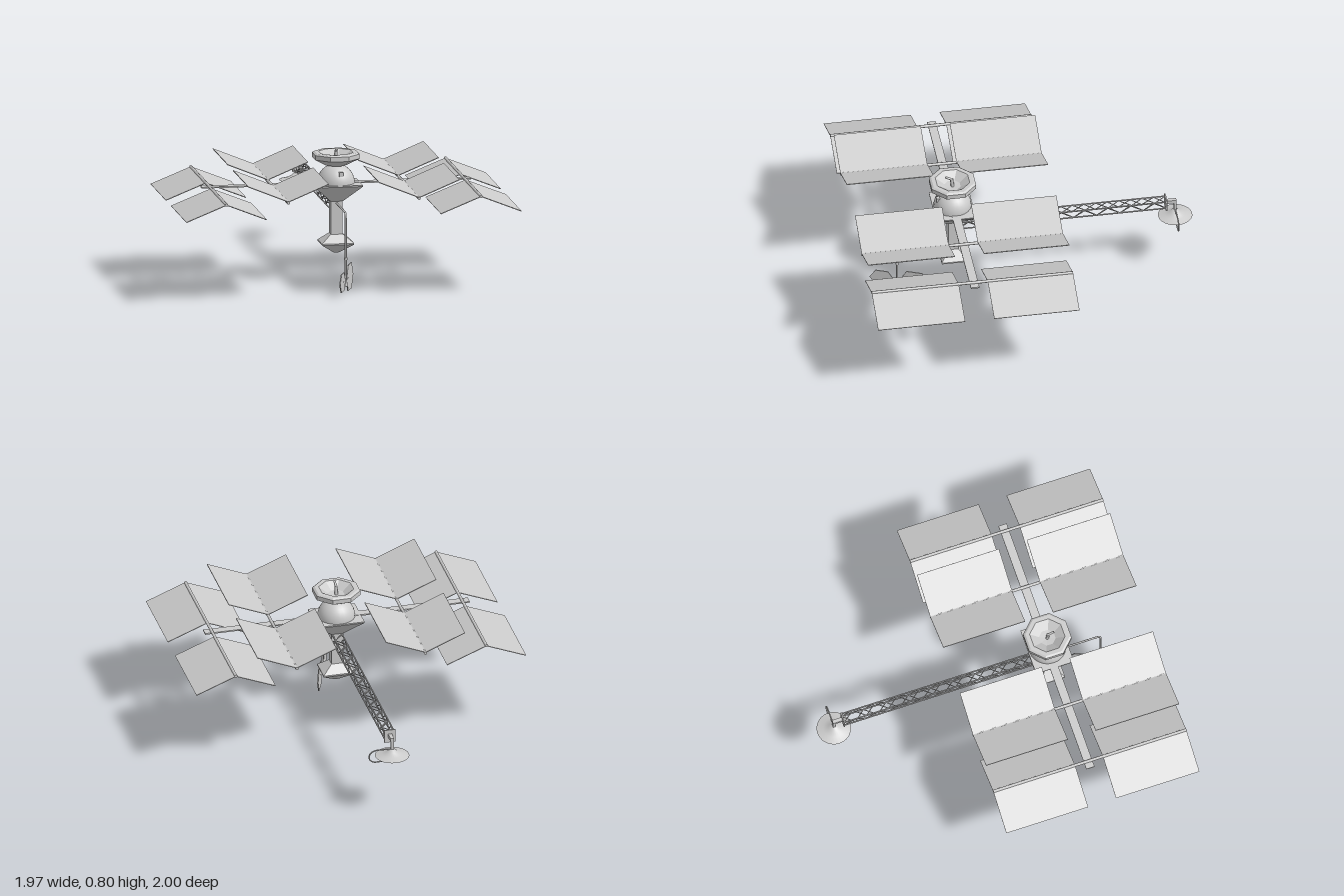
import * as THREE from 'three';

const CZ = 0.405; // z of the central body
const V = (x, y, z) => new THREE.Vector3(x, y, z);
const flat = new THREE.MeshStandardMaterial({ color: 0xcccccc, flatShading: true, side: THREE.DoubleSide });
const smooth = new THREE.MeshStandardMaterial({ color: 0xcccccc, side: THREE.DoubleSide });

function add(parent, name, geometry, x = 0, y = 0, z = 0, material = flat) {
  const mesh = new THREE.Mesh(geometry, material);
  mesh.name = name;
  mesh.position.set(x, y, z);
  parent.add(mesh);
  return mesh;
}

function addGroup(parent, name) {
  const g = new THREE.Group();
  g.name = name;
  parent.add(g);
  return g;
}

// Round bar between two points
function bar(parent, name, a, b, r, sides = 8, r2 = r) {
  const d = b.clone().sub(a);
  const mesh = add(parent, name, new THREE.CylinderGeometry(r2, r, d.length(), sides), 0, 0, 0, smooth);
  mesh.position.copy(a).addScaledVector(d, 0.5);
  mesh.quaternion.setFromUnitVectors(V(0, 1, 0), d.normalize());
  return mesh;
}

// Faceted solid from [apothem, y] pairs, flat sides facing the axes
function faceted(profile, sides) {
  const k = 1 / Math.cos(Math.PI / sides);
  const pts = profile.map(([r, y]) => new THREE.Vector2(r * k, y));
  return new THREE.LatheGeometry(pts, sides, Math.PI / sides);
}

function buildBody(root) {
  const body = addGroup(root, 'body');
  body.position.z = CZ;
  add(body, 'hull', faceted([[0, 0.485], [0.035, 0.485], [0.14, 0.585], [0.14, 0.592], [0, 0.592]], 4)).scale.z = 0.83;
  add(body, 'column', new THREE.BoxGeometry(0.07, 0.21, 0.06), 0, 0.385, 0);
  add(body, 'lowerModule', faceted([[0, 0.18], [0.012, 0.18], [0.094, 0.237], [0.094, 0.245], [0.035, 0.293], [0, 0.293]], 4)).scale.z = 0.82;
  add(body, 'dome', new THREE.SphereGeometry(0.11, 24, 10, 0, Math.PI * 2, 0, Math.PI / 2), 0, 0.592, 0, smooth);
  add(body, 'hatch', new THREE.BoxGeometry(0.025, 0.025, 0.02), 0.015, 0.655, 0.088);
  // Octagonal dock with a sunken top
  add(body, 'dockingRing', faceted([[0, 0.695], [0.06, 0.698], [0.13, 0.738], [0.13, 0.765], [0.118, 0.773], [0.095, 0.773], [0.045, 0.735], [0, 0.73]], 8));
  bar(body, 'antennaMast', V(0, 0.73, 0), V(0, 0.782, 0.005), 0.01);
  bar(body, 'antennaTip', V(0, 0.778, 0), V(0, 0.798, 0.04), 0.007);
}

function buildSolarArrays(root) {
  const arrays = addGroup(root, 'solarArrays');
  add(arrays, 'crossBeam', new THREE.BoxGeometry(1.58, 0.008, 0.05), 0, 0.59, 0.4);
  for (const side of [-1, 1]) {
    // Inner wings fold upwards, outer wings fold downwards
    for (const [x, y, tipY] of [[0.384, 0.603, 0.7], [0.748, 0.597, 0.503]]) {
      bar(arrays, 'axle', V(side * x, 0.598, -0.18), V(side * x, 0.598, 1), 0.009);
      for (const z of [0.07, 0.745]) {
        for (const dir of [-1, 1]) {
          const rise = tipY - y, run = 0.236;
          const panel = add(arrays, 'solarPanel', new THREE.BoxGeometry(Math.hypot(rise, run), 0.004, z < 0.4 ? 0.5 : 0.51),
            side * x + dir * run / 2, (y + tipY) / 2, z);
          panel.rotation.z = dir * Math.atan2(rise, run);
        }
      }
    }
  }
}

function buildTruss(root) {
  const truss = addGroup(root, 'truss');
  const z0 = 0.38, z1 = -0.845, n = 18, w = 0.028, lo = 0.433, hi = 0.478;
  const step = (z1 - z0) / n;
  for (const x of [-w, w]) for (const y of [lo, hi]) bar(truss, 'trussRail', V(x, y, z0), V(x, y, z1), 0.0045, 6);
  for (let i = 0; i < n; i++) {
    const a = z0 + i * step, b = a + step, up = i % 2 === 0;
    // Zigzag on each face, crossed between top and bottom
    for (const x of [-w, w]) bar(truss, 'trussBrace', V(x, up ? lo : hi, a), V(x, up ? hi : lo, b), 0.003, 5);
    for (const [y, s] of [[lo, 1], [hi, -1]]) {
      const k = up ? s * w : -s * w;
      bar(truss, 'trussBrace', V(k, y, a), V(-k, y, b), 0.003, 5);
    }
  }
  add(truss, 'endPlate', new THREE.BoxGeometry(0.065, 0.08, 0.008), 0, 0.455, -0.845);
}

function buildDish(root) {
  const dish = addGroup(root, 'dishAntenna');
  dish.position.z = -0.9;
  add(dish, 'dishArm', new THREE.BoxGeometry(0.022, 0.02, 0.06), 0, 0.46, 0.025);
  add(dish, 'dishPost', new THREE.BoxGeometry(0.018, 0.08, 0.014), 0, 0.43, 0);
  const profile = [[0.1, 0.357], [0.06, 0.367], [0.03, 0.382], [0.015, 0.397], [0, 0.4]].map(([r, y]) => new THREE.Vector2(r, y));
  add(dish, 'dishBowl', new THREE.LatheGeometry(profile, 24), 0, 0, 0, smooth);
  bar(dish, 'feedHorn', V(0, 0.328, 0), V(0, 0.36, 0), 0.004, 8, 0.009);
  // Feed pipe curling round the rim
  const path = new THREE.CatmullRomCurve3([V(0, 0.398, 0), V(0.05, 0.4, 0), V(0.11, 0.397, 0), V(0.134, 0.378, 0),
    V(0.134, 0.344, 0), V(0.11, 0.326, 0), V(0.05, 0.327, 0), V(0, 0.332, 0)]);
  add(dish, 'feedPipe', new THREE.TubeGeometry(path, 32, 0.004, 6), 0, 0, 0, smooth);
}

function buildFrontMast(root) {
  const mast = addGroup(root, 'frontMast');
  const z = 0.73;
  const path = new THREE.CurvePath();
  path.add(new THREE.LineCurve3(V(0, 0.475, CZ), V(0, 0.475, z - 0.03)));
  path.add(new THREE.QuadraticBezierCurve3(V(0, 0.475, z - 0.03), V(0, 0.475, z), V(0, 0.445, z)));
  path.add(new THREE.LineCurve3(V(0, 0.445, z), V(0, 0.05, z)));
  add(mast, 'mastPipe', new THREE.TubeGeometry(path, 90, 0.006, 8), 0, 0, 0, smooth);
  bar(mast, 'mastJoint', V(0, 0.198, z), V(0, 0.212, z), 0.01);
  bar(mast, 'mastFoot', V(0, 0.042, z), V(0, 0.08, z), 0.012, 8, 0.007);

  // Two hexagonal plates hung on either side of the foot
  const plates = addGroup(mast, 'hexPlates');
  plates.position.set(0, 0.08, z);
  plates.rotation.y = -0.39;
  for (const [r, offset, sy] of [[0.092, -0.103, 0.95], [0.073, 0.09, 0.84]]) {
    const plate = add(plates, 'hexPlate', new THREE.CylinderGeometry(r, r, 0.006, 6).rotateZ(Math.PI / 2), 0, 0, offset);
    plate.scale.y = sy;
    bar(plates, 'plateArm', V(0, 0, 0), V(0, 0, offset), 0.004, 6);
  }
}

export function createModel() {
  const root = new THREE.Group();
  root.name = 'spaceStation';
  buildBody(root);
  buildSolarArrays(root);
  buildTruss(root);
  buildDish(root);
  buildFrontMast(root);
  return root;
}
